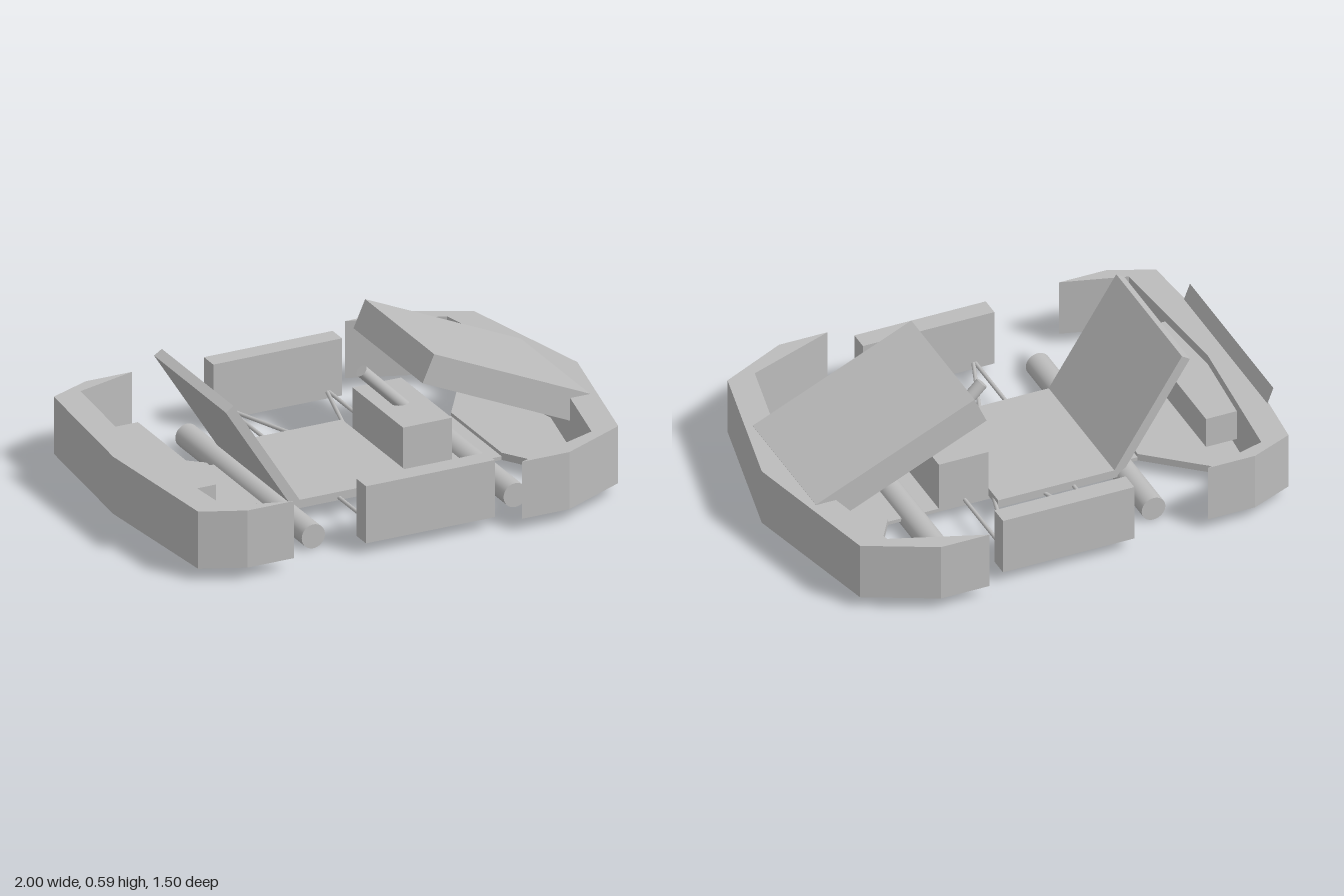
import * as THREE from 'three';

export function createModel() {
  const model = new THREE.Group();
  const grey = new THREE.MeshStandardMaterial({ color: 0xbcbcbc });
  grey.name = 'plain grey';

  const add = (name, geometry) => {
    const mesh = new THREE.Mesh(geometry, grey);
    mesh.name = name;
    model.add(mesh);
    return mesh;
  };

  // box from its limits on each axis
  const box = (name, x0, x1, y0, y1, z0, z1) =>
    add(name, new THREE.BoxGeometry(x1 - x0, y1 - y0, z1 - z0))
      .position.set((x0 + x1) / 2, (y0 + y1) / 2, (z0 + z1) / 2);

  // box tilted about z
  const tilted = (name, size, x, y, angle) => {
    const mesh = add(name, new THREE.BoxGeometry(...size));
    mesh.position.set(x, y, 0);
    mesh.rotation.z = angle;
  };

  // round bar between two points
  const rod = (name, a, b, radius, sides) => {
    const from = new THREE.Vector3(...a), to = new THREE.Vector3(...b);
    const dir = to.clone().sub(from);
    const mesh = add(name, new THREE.CylinderGeometry(radius, radius, dir.length(), sides));
    mesh.position.copy(from).add(to).multiplyScalar(0.5);
    mesh.quaternion.setFromUnitVectors(new THREE.Vector3(0, 1, 0), dir.normalize());
  };

  // flat slab from an [x, z] outline
  const slab = (name, outline, y0, y1) => {
    const shape = new THREE.Shape(outline.map(([x, z]) => new THREE.Vector2(x, z)));
    const geometry = new THREE.ExtrudeGeometry(shape, { depth: y1 - y0, bevelEnabled: false });
    geometry.rotateX(Math.PI / 2).translate(0, y1, 0);
    add(name, geometry);
  };
  const mirrorZ = (points) => points.map(([x, z]) => [x, -z]);

  // wrap-around bumpers: outer edge, then inner edge back to the start
  const bumper = (name, tip, corner, shoulder, end, innerShoulder, innerEnd) => {
    const outer = [tip, corner, shoulder];
    slab(name, [...outer, [end, 0], ...mirrorZ(outer).reverse(),
      [innerShoulder[0], -innerShoulder[1]], [innerEnd, 0], innerShoulder], 0.05, 0.29);
  };
  bumper('noseBumper', [0.38, 0.752], [0.585, 0.752], [0.865, 0.615], 1, [0.75, 0.615], 0.885);
  bumper('rearBumper', [-0.57, 0.69], [-0.77, 0.69], [-0.945, 0.615], -1, [-0.83, 0.615], -0.885);

  // floor and the trays flaring out to the bumpers
  box('floor', -0.49, 0.565, 0.05, 0.065, -0.215, 0.215);
  const tray = (name, inner, outer, end) =>
    slab(name, [inner, outer, [end, 0], ...mirrorZ([inner, outer]).reverse()], 0.05, 0.08);
  tray('noseTray', [0.565, 0.215], [0.768, 0.53], 0.885);
  tray('rearTray', [-0.49, 0.215], [-0.839, 0.515], -0.885);

  // seat
  box('seatBase', -0.37, 0.14, 0.065, 0.1, -0.305, 0.305);
  tilted('seatBack', [0.04, 0.55, 0.61], -0.506, 0.308, 0.564);

  // hood, pedal box, steering column and rear box
  tilted('hood', [0.735, 0.123, 0.588], 0.545, 0.385, -0.42);
  box('pedalBox', 0.14, 0.35, 0.065, 0.27, -0.215, 0.215);
  rod('steeringColumn', [0.07, 0.438, 0], [0.29, 0.218, 0], 0.025, 32);
  box('rearBox', -0.89, -0.725, 0.12, 0.25, -0.333, 0.333);

  // one-sided sheet rising from the rear bumper, facing forwards
  const sheet = add('rearSheet', new THREE.PlaneGeometry(0.775, 0.11));
  sheet.rotation.order = 'ZYX';
  sheet.rotation.set(0, Math.PI / 2, 0.37);
  sheet.position.set(-0.965, 0.304, 0);

  // axles
  for (const [name, x] of [['rearAxle', -0.41], ['frontAxle', 0.46]]) {
    rod(name, [x, 0.05, -0.538], [x, 0.05, 0.538], 0.05, 40);
  }

  // side pods and their struts
  for (const s of [1, -1]) {
    const side = s > 0 ? 'front' : 'back';
    box(side + 'SidePod', -0.26, 0.295, 0.05, 0.29, s * 0.65 - 0.04, s * 0.65 + 0.04);
    for (const [x0, x1, z1] of [[-0.18, -0.18, 0.2], [0.24, 0.24, 0.2],
      [-0.175, -0.04, 0.25], [0.235, 0.12, 0.2]]) {
      rod(side + 'Strut', [x0, 0.075, s * 0.62], [x1, 0.075, s * z1], 0.008, 12);
    }
  }

  return model;
}
